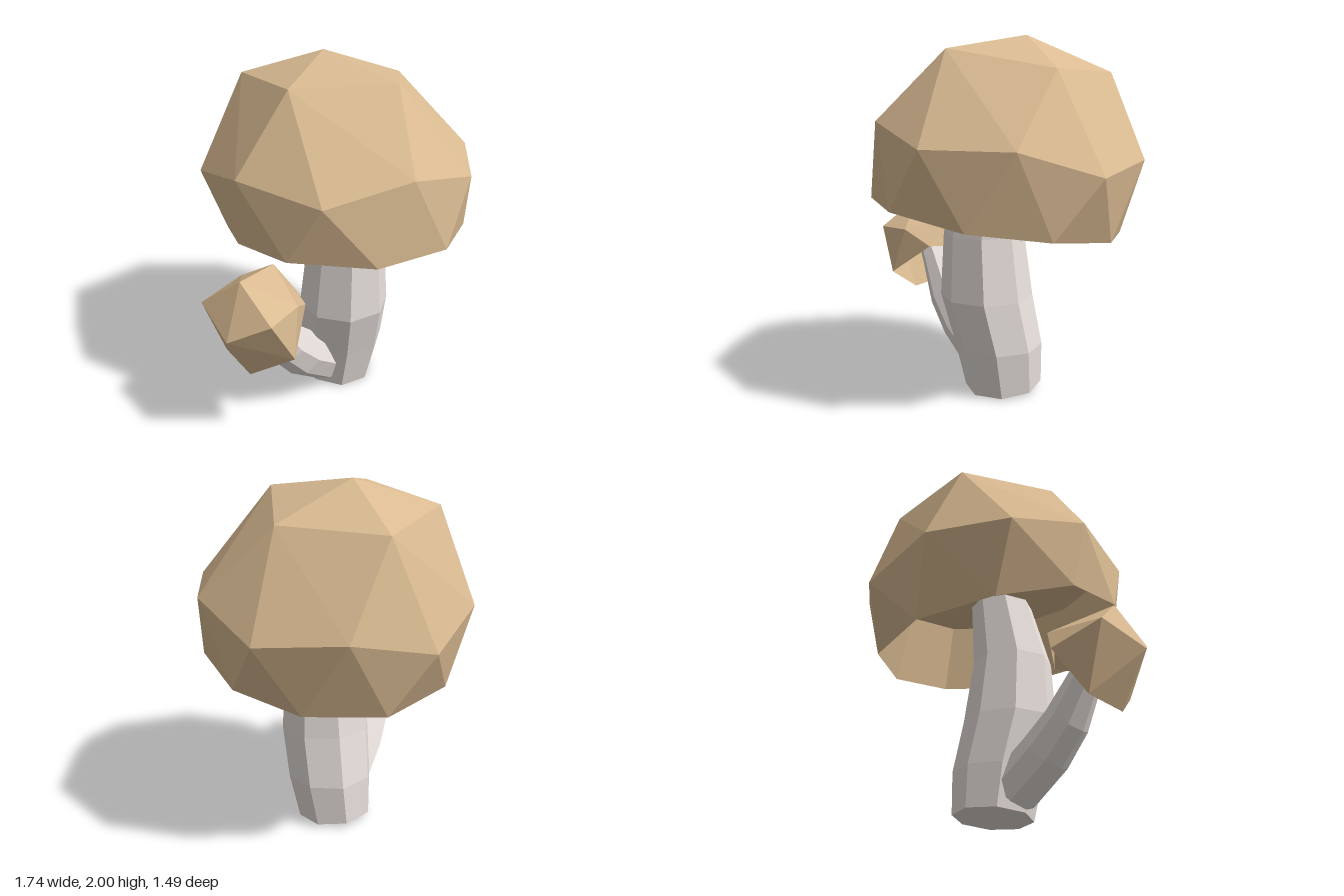
import * as THREE from 'three';
import { ConvexGeometry } from 'three/addons/geometries/ConvexGeometry.js';

const capMaterial = new THREE.MeshStandardMaterial({ color: 0xdabb92, flatShading: true, side: THREE.DoubleSide });
const stemMaterial = new THREE.MeshStandardMaterial({ color: 0xe8e0dc, flatShading: true });

const toVectors = (list) => list.map((p) => new THREE.Vector3(...p));

// Faceted shell around the crown and rim points, left open on the side the opening faces
function openShell(name, crown, rim, opening) {
  const rimPoints = toVectors(rim);
  const hull = new ConvexGeometry([...toVectors(crown), ...rimPoints]);
  const pos = hull.getAttribute('position');
  const isRim = (v) => rimPoints.some((r) => r.distanceTo(v) < 1e-4);
  const kept = [];
  for (let i = 0; i < pos.count; i += 3) {
    const tri = [0, 1, 2].map((k) => new THREE.Vector3().fromBufferAttribute(pos, i + k));
    const normal = new THREE.Triangle(...tri).getNormal(new THREE.Vector3());
    if (tri.every(isRim) && normal.dot(opening) > 0.4) continue;
    tri.forEach((v) => kept.push(v.x, v.y, v.z));
  }
  const geometry = new THREE.BufferGeometry();
  geometry.setAttribute('position', new THREE.Float32BufferAttribute(kept, 3));
  geometry.computeVertexNormals();
  const mesh = new THREE.Mesh(geometry, capMaterial);
  mesh.name = name;
  return mesh;
}

// Closed loft through rings of { c: centre, r: radius, lean: tilt towards -x, pitch: drop towards +z }
function loft(name, rings, sides) {
  const verts = [];
  const index = [];
  for (const { c, r, lean = 0, pitch = 0 } of rings) {
    for (let i = 0; i < sides; i++) {
      const a = (i / sides) * Math.PI * 2;
      const u = Math.cos(a) * r;
      const w = Math.sin(a) * r;
      verts.push(c[0] + u * Math.cos(lean), c[1] + u * Math.sin(lean) - w * pitch, c[2] + w);
    }
  }
  for (let j = 0; j < rings.length - 1; j++) {
    for (let i = 0; i < sides; i++) {
      const a = j * sides + i;
      const b = j * sides + ((i + 1) % sides);
      index.push(a, a + sides, b, b, a + sides, b + sides);
    }
  }
  const top = (rings.length - 1) * sides;
  for (let i = 1; i < sides - 1; i++) {
    index.push(0, i, i + 1, top, top + i + 1, top + i);
  }
  const geometry = new THREE.BufferGeometry();
  geometry.setAttribute('position', new THREE.Float32BufferAttribute(verts, 3));
  geometry.setIndex(index);
  const flat = geometry.toNonIndexed();
  flat.computeVertexNormals();
  const mesh = new THREE.Mesh(flat, stemMaterial);
  mesh.name = name;
  return mesh;
}

export function createModel() {
  const group = new THREE.Group();
  group.name = 'mushrooms';
  const down = new THREE.Vector3(0, -1, 0);

  // Large cap: apex, upper ring and shoulder ring, then the rim
  const rim = [
    [0.05, 1.11, 0.74], [0.48, 1.045, 0.61], [0.73, 0.99, 0.26], [0.75, 0.935, -0.15], [0.52, 0.91, -0.51],
    [0.08, 0.93, -0.65], [-0.31, 1.01, -0.48], [-0.57, 1.12, -0.15], [-0.6, 1.14, 0.2], [-0.35, 1.12, 0.58],
  ];
  group.add(openShell('largeCap', [
    [0.14, 2, -0.13],
    [0.08, 1.92, 0.39], [0.57, 1.82, 0.08], [0.45, 1.8, -0.48], [-0.09, 1.86, -0.52], [-0.33, 1.92, 0.01],
    [0.28, 1.44, 0.73], [0.69, 1.44, 0.47], [0.87, 1.3, 0.05], [0.75, 1.345, -0.41], [0.4, 1.235, -0.715],
    [-0.05, 1.36, -0.745], [-0.45, 1.4, -0.52], [-0.62, 1.51, -0.1], [-0.54, 1.455, 0.38], [-0.17, 1.55, 0.66],
  ], rim, down));

  // Hollow under the large cap, rising steeply from the rim
  const ceiling = rim.map(([x, y, z]) => [0.08 + (x - 0.08) * 0.88, y + 0.4, 0.03 + (z - 0.03) * 0.88]);
  group.add(openShell('largeCapHollow', ceiling, rim, down));

  // Small cap, tipped outwards so that it opens towards its stem
  group.add(openShell('smallCap', [
    [-0.87, 0.73, 0.02], [-0.72, 1.01, -0.01], [-0.76, 0.85, 0.23],
    [-0.54, 0.86, 0.22], [-0.78, 0.83, -0.24], [-0.46, 0.84, -0.25],
  ], [
    [-0.38, 0.935, -0.08], [-0.31, 0.77, 0.02], [-0.39, 0.77, 0.15], [-0.62, 0.59, 0.26],
    [-0.71, 0.435, 0.02], [-0.66, 0.475, -0.2], [-0.53, 0.71, -0.32],
  ], new THREE.Vector3(0.75, -0.66, 0)));

  // Thick main stem, bulging below the middle
  group.add(loft('largeStem', [
    { c: [0.1, 0.02, 0], r: 0.218, pitch: 0.09 },
    { c: [0.095, 0.27, 0.035], r: 0.248 },
    { c: [0.05, 0.56, 0.085], r: 0.26 },
    { c: [0.045, 0.92, 0.1], r: 0.225 },
    { c: [0.11, 1.3, 0.08], r: 0.18 },
  ], 8));

  // Thin stem curving out to the small cap
  group.add(loft('smallStem', [
    { c: [-0.03, 0.14, 0], r: 0.14, lean: 0.85 },
    { c: [-0.25, 0.305, 0], r: 0.138, lean: 0.8 },
    { c: [-0.39, 0.45, 0], r: 0.122, lean: 0.65 },
    { c: [-0.525, 0.655, -0.01], r: 0.09, lean: 0.6 },
    { c: [-0.61, 0.77, -0.02], r: 0.075, lean: 0.6 },
  ], 8));

  return group;
}
